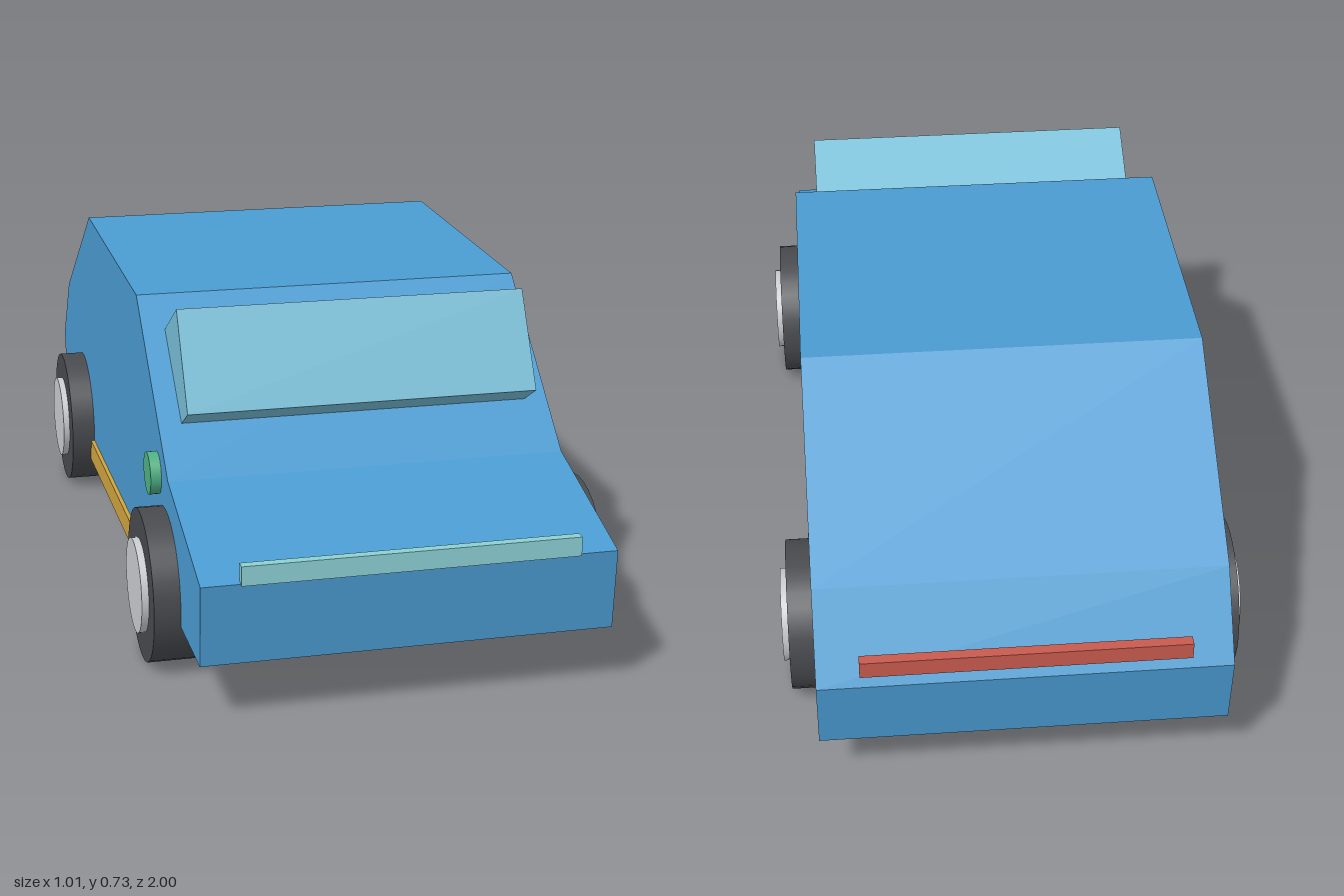
import * as THREE from 'three';

const paint = (name, color) => {
  const m = new THREE.MeshStandardMaterial({ color });
  m.name = name;
  return m;
};

export function createModel() {
  const car = new THREE.Group();
  car.name = 'car';

  const blue = paint('bodyBlue', 0x4a9bd1);
  const glass = paint('glassBlue', 0x78bed7);
  const lamp = paint('lampAqua', 0x8bd0d4);
  const red = paint('tailRed', 0xc75a4e);
  const gold = paint('floorGold', 0xcfa43f);
  const rubber = paint('tyreGrey', 0x484a4e);
  const silver = paint('hubSilver', 0xc9ccd0);
  const green = paint('capGreen', 0x4fb083);

  const add = (name, geometry, material, x = 0, y = 0, z = 0, parent = car) => {
    const mesh = new THREE.Mesh(geometry, material);
    mesh.name = name;
    mesh.position.set(x, y, z);
    parent.add(mesh);
    return mesh;
  };

  // Side profile given as (z, y), extruded across the width
  const prism = (points, width) => {
    const shape = new THREE.Shape(points.map(([z, y]) => new THREE.Vector2(z, y)));
    const g = new THREE.ExtrudeGeometry(shape, { depth: width, bevelEnabled: false });
    return g.translate(0, 0, -width / 2).rotateY(-Math.PI / 2);
  };
  const disc = (radius, width) =>
    new THREE.CylinderGeometry(radius, radius, width, 32).rotateZ(Math.PI / 2);

  // Body shell
  add('body', prism([
    [0.975, 0.128], [0.99, 0.302], [0.645, 0.403], [0.284, 0.714],
    [-0.438, 0.734], [-0.87, 0.458], [-0.992, 0.292], [-0.972, 0.128],
  ], 0.866), blue);

  // Slanted windscreen block, sunk into the body
  add('windscreen', prism([
    [0.612, 0.535], [0.5, 0.734], [0.24, 0.588], [0.352, 0.389],
  ], 0.766), glass);

  // Floor pan
  add('floorPan', new THREE.BoxGeometry(0.884, 0.054, 0.94), gold, 0, 0.117, 0);

  // Light bars
  add('headlightBar', new THREE.BoxGeometry(0.704, 0.041, 0.022), lamp, 0, 0.321, 0.987);
  add('tailLightBar', new THREE.BoxGeometry(0.686, 0.038, 0.024), red, 0, 0.346, -0.988);

  // Round cap on the right flank
  add('sideCap', disc(0.046, 0.06), green, -0.426, 0.383, 0.522);

  // Wheels with raised hubs
  const tyre = disc(0.165, 0.11);
  const hub = disc(0.102, 0.06);
  for (const side of [1, -1]) {
    for (const [end, z] of [['front', 0.61], ['rear', -0.611]]) {
      const wheel = new THREE.Group();
      wheel.name = end + (side > 0 ? 'Left' : 'Right') + 'Wheel';
      wheel.position.set(side * 0.434, 0.165, z);
      add('tyre', tyre, rubber, 0, 0, 0, wheel);
      add('hub', hub, silver, side * 0.04, 0, 0, wheel);
      car.add(wheel);
    }
  }
  return car;
}
